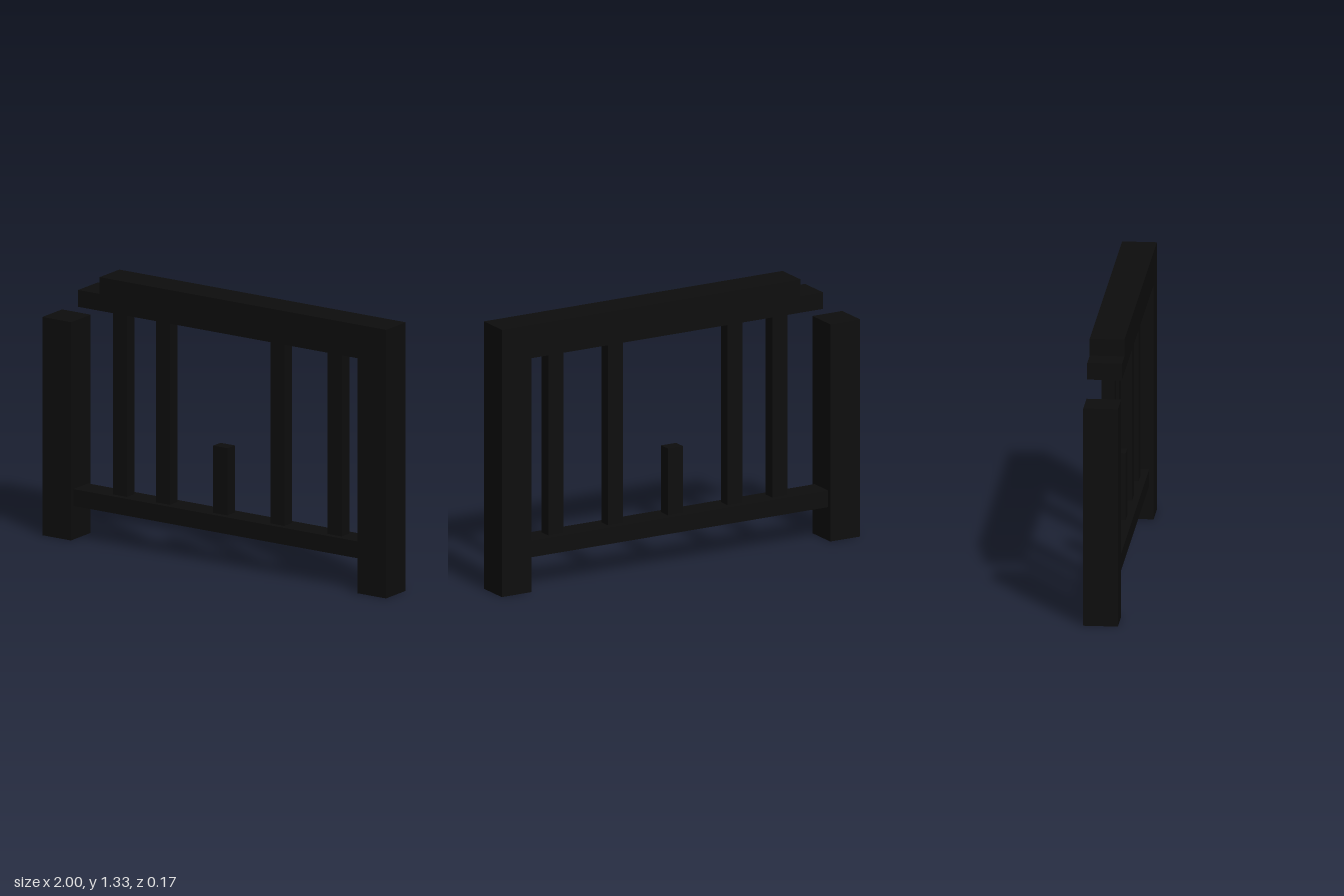
import * as THREE from 'three';

export function createModel() {
  const group = new THREE.Group();
  group.name = 'brokenRailing';
  const blackIron = new THREE.MeshStandardMaterial({ color: 0x0d0d0d });
  blackIron.name = 'blackIron';

  const U = 1 / 24; // modelling unit

  // Box from x and y ranges and a depth centred on z = 0, all in units
  function bar(name, x0, x1, y0, y1, depth) {
    const geometry = new THREE.BoxGeometry((x1 - x0) * U, (y1 - y0) * U, depth * U);
    const mesh = new THREE.Mesh(geometry, blackIron);
    mesh.name = name;
    mesh.position.set((x0 + x1) / 2 * U, (y0 + y1) / 2 * U, 0);
    group.add(mesh);
  }

  // Posts: the right one is snapped off short
  bar('leftPost', 20, 24, 0, 32, 4);
  bar('rightPostBroken', -24, -20, 0, 26, 4);

  // Top rail with a stepped broken end
  bar('topRail', -16, 24, 28, 32, 4);
  bar('topRailBrokenEnd', -19, -16, 28, 30, 4);

  // Bottom rail between the posts
  bar('bottomRail', -20, 20, 4, 6, 3);

  // Balusters: centre x and top height, the middle one is a stump
  const balusters = [[-14, 28], [-8, 28], [0, 14], [8, 28], [16, 28]];
  balusters.forEach(([x, top], i) => bar(`baluster${i + 1}`, x - 1, x + 1, 6, top, 1.5));

  return group;
}
